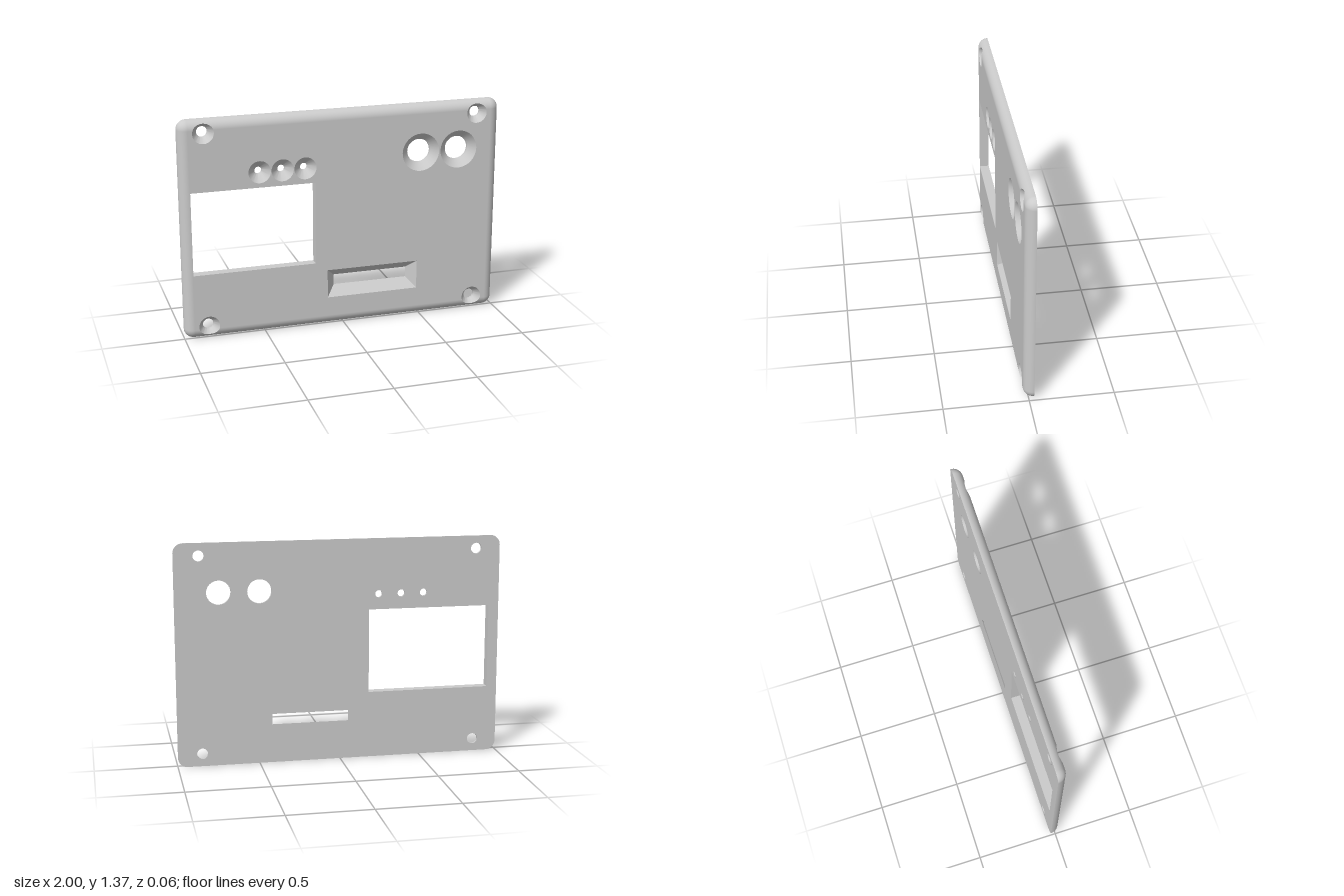
import * as THREE from 'three';
import { toCreasedNormals } from 'three/addons/utils/BufferGeometryUtils.js';

const H = 1.365;             // plate height (width is 2)
const FRONT = 0.03, BACK = -0.03;
const R = 0.06;              // edge rounding, also the corner radius
const SINK = 0.045;          // countersink depth
const SCREW = { x: 0.85, y: 0.078, outer: 0.064, inner: 0.033 };

const V2 = (x, y) => new THREE.Vector2(x, y);
const turn = (p) => V2(-p.x, H - p.y);   // half turn about the plate centre
const circle = (x, y, r, n = 32) => Array.from({ length: n }, (_, i) => {
  const a = (i / n) * Math.PI * 2;
  return V2(x + r * Math.cos(a), y + r * Math.sin(a));
});
const rect = (x0, x1, y0, y1) => [V2(x0, y0), V2(x1, y0), V2(x1, y1), V2(x0, y1)];
const lift = (points, z) => points.map((p) => new THREE.Vector3(p.x, p.y, z));

// Flat sheet with holes, facing the front or the back
function sheet(outline, holes, z, back) {
  const fix = (pts) => pts.map((p) => V2(back ? -p.x : p.x, p.y));
  const shape = new THREE.Shape(fix(outline));
  shape.holes = holes.map((h) => new THREE.Path(fix(h)));
  const g = new THREE.ShapeGeometry(shape);
  if (back) g.rotateY(Math.PI);
  return g.translate(0, 0, z);
}

// Inward-facing wall of an opening, from rings ordered front to back
function wall(rings) {
  const n = rings[0].length, pos = [];
  for (let k = 0; k + 1 < rings.length; k++) {
    for (let i = 0; i < n; i++) {
      const j = (i + 1) % n;
      const a = rings[k][i], b = rings[k][j], c = rings[k + 1][j], d = rings[k + 1][i];
      for (const p of [a, b, c, a, c, d]) pos.push(p.x, p.y, p.z);
    }
  }
  const g = new THREE.BufferGeometry();
  g.setAttribute('position', new THREE.Float32BufferAttribute(pos, 3));
  return toCreasedNormals(g, 0.5);
}

// Point where a screw countersink meets the plate's front, at angle a
function screwEdge(a) {
  const { y, outer, inner } = SCREW;
  const surface = (d) => d >= R ? FRONT : BACK + Math.sqrt(Math.max(0, R * R - (R - d) ** 2));
  const cone = (r) => FRONT - (outer - r) * SINK / (outer - inner);
  let lo = inner, hi = outer;
  if (y + outer * Math.sin(a) < R - 1e-6) {
    for (let i = 0; i < 40; i++) {
      const m = (lo + hi) / 2;
      if (cone(m) < surface(y + m * Math.sin(a))) lo = m; else hi = m;
    }
  }
  return new THREE.Vector3(hi * Math.cos(a), y + hi * Math.sin(a), cone(hi));
}

export function createModel() {
  const group = new THREE.Group();
  group.name = 'frontPanel';
  const material = new THREE.MeshStandardMaterial({ color: 0xcccccc });
  const add = (name, geometry) => {
    const mesh = new THREE.Mesh(geometry, material);
    mesh.name = name;
    group.add(mesh);
  };

  // Screw hole angles: upper arc on the flat face, lower arc on the rounded rim
  const a0 = Math.asin((R - SCREW.y) / SCREW.outer);
  const upper = [], lower = [];
  for (let i = 0; i <= 20; i++) upper.push(a0 + (Math.PI - 2 * a0) * i / 20);
  for (let i = 0; i <= 14; i++) lower.push(Math.PI - a0 + (Math.PI + 2 * a0) * i / 14);

  // Half of the perimeter: corner, bottom edge with two screw bites, corner
  const half = [], flatHalf = [];
  const corner = (x, start) => {
    for (let i = 0; i <= 8; i++) {
      const a = start + (i / 8) * Math.PI / 2;
      half.push({ c: V2(x, R), n: V2(Math.cos(a), Math.sin(a)), t: Math.PI / 2 });
    }
    flatHalf.push(V2(x, R));
  };
  corner(-1 + R, Math.PI);
  for (const x of [-SCREW.x, SCREW.x]) {
    for (const a of lower) {
      const p = screwEdge(a);
      half.push({ c: V2(x + p.x, R), n: V2(0, -1), t: Math.acos(Math.max(0, (R - p.y) / R)) });
    }
    for (const a of [...upper].reverse()) {
      const p = screwEdge(a);
      flatHalf.push(V2(x + p.x, p.y));
    }
  }
  corner(1 - R, Math.PI * 1.5);
  const rim = [...half, ...half.map((s) => ({ c: turn(s.c), n: s.n.clone().negate(), t: s.t }))];
  const flat = [...flatHalf, ...flatHalf.map(turn)];
  const outline = rim.map((s) => s.c.clone().addScaledVector(s.n, R));

  // Rounded rim
  const pos = [], nor = [], idx = [], steps = 10;
  rim.forEach((s, i) => {
    const j = (i + 1) % rim.length;
    for (let k = 0; k <= steps; k++) {
      const t = s.t * k / steps, c = Math.cos(t), z = Math.sin(t);
      pos.push(s.c.x + s.n.x * R * c, s.c.y + s.n.y * R * c, BACK + R * z);
      nor.push(s.n.x * c, s.n.y * c, z);
      if (k < steps) {
        const a = i * (steps + 1) + k, b = j * (steps + 1) + k;
        idx.push(a, b, b + 1, a, b + 1, a + 1);
      }
    }
  });
  const rimGeometry = new THREE.BufferGeometry();
  rimGeometry.setAttribute('position', new THREE.Float32BufferAttribute(pos, 3));
  rimGeometry.setAttribute('normal', new THREE.Float32BufferAttribute(nor, 3));
  rimGeometry.setIndex(idx);
  add('roundedRim', rimGeometry);

  const frontHoles = [], backHoles = [];

  // Countersunk round openings: three small lamps, two large knobs
  const sunk = (name, x, y, outer, inner) => {
    const o = circle(x, y, outer), n = circle(x, y, inner);
    frontHoles.push(o);
    backHoles.push(n);
    add(name, wall([lift(o, FRONT), lift(n, FRONT - SINK), lift(n, BACK)]));
  };
  for (const x of [-0.52, -0.38, -0.24]) sunk('lampHole', x, 1.025, 0.068, 0.022);
  for (const x of [0.49, 0.735]) sunk('knobHole', x, 1.065, 0.118, 0.073);

  // Display window with straight walls, and slot with sloping walls
  const opening = (name, front, back) => {
    frontHoles.push(front);
    backHoles.push(back);
    add(name, wall([lift(front, FRONT), lift(back, BACK)]));
  };
  const display = rect(-0.938, -0.18, 0.413, 0.93);
  opening('displayWindow', display, display);
  opening('bevelledSlot', rect(-0.105, 0.475, 0.18, 0.36), rect(-0.05, 0.42, 0.24, 0.305));

  // Screw holes in the four corners
  const angles = [...upper, ...lower.slice(1, -1)];
  for (const x of [-SCREW.x, SCREW.x]) {
    const edge = angles.map((a) => screwEdge(a).add(new THREE.Vector3(x, 0, 0)));
    const bore = angles.map((a) =>
      V2(x + SCREW.inner * Math.cos(a), SCREW.y + SCREW.inner * Math.sin(a)));
    const rings = [edge, lift(bore, FRONT - SINK), lift(bore, BACK)];
    add('lowerScrewHole', wall(rings));
    add('upperScrewHole', wall(rings.map((r) =>
      r.map((p) => new THREE.Vector3(-p.x, H - p.y, p.z)))));
    backHoles.push(bore, bore.map(turn));
  }

  // Front and back faces
  add('frontFace', sheet(flat, frontHoles, FRONT, false));
  add('backFace', sheet(outline, backHoles, BACK, true));
  return group;
}
